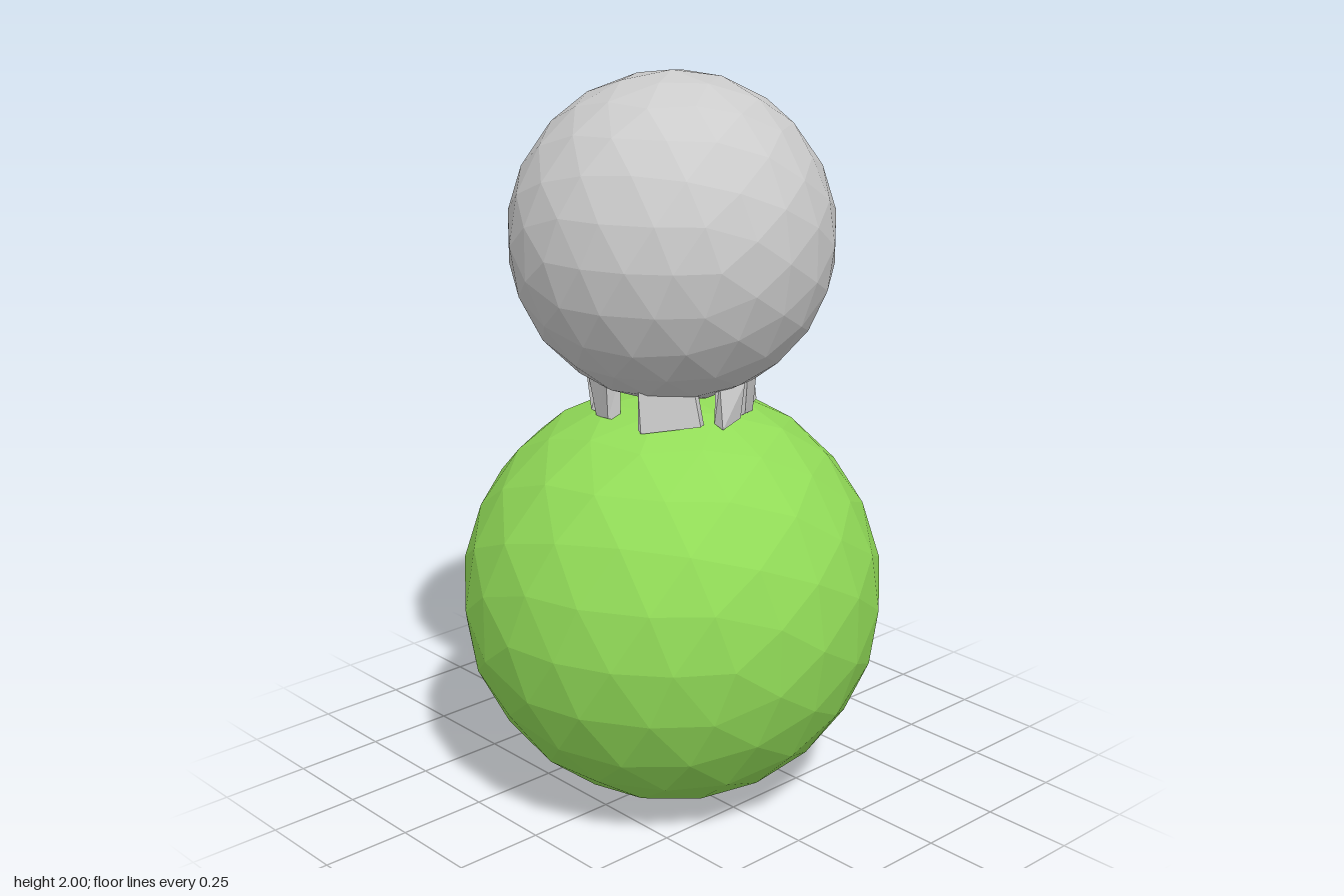
import * as THREE from 'three';

const grey = new THREE.MeshStandardMaterial({ color: 0xcccccc, flatShading: true });
const green = new THREE.MeshStandardMaterial({ color: 0x92dc58, flatShading: true });

let seed = 7;
function rnd() {
  seed = (seed * 16807) % 2147483647;
  return seed / 2147483647 - 0.5;
}

// Unit icosphere, halved twice, with its poles on the z axis
function icosphere() {
  const base = new THREE.IcosahedronGeometry(1, 0);
  base.rotateX(Math.atan(2 / (1 + Math.sqrt(5)))).rotateZ(Math.PI / 2);
  const p = base.attributes.position;
  let points = [];
  for (let i = 0; i < p.count; i++) points.push(new THREE.Vector3().fromBufferAttribute(p, i));
  for (let step = 0; step < 2; step++) {
    const next = [];
    for (let i = 0; i < points.length; i += 3) {
      const [a, b, c] = points.slice(i, i + 3);
      const mid = (u, v) => u.clone().add(v).normalize();
      const ab = mid(a, b), bc = mid(b, c), ca = mid(c, a);
      next.push(a, ab, ca, ab, b, bc, ca, bc, c, ab, bc, ca);
    }
    points = next;
  }
  const geometry = new THREE.BufferGeometry().setFromPoints(points);
  geometry.computeVertexNormals();
  return geometry;
}

function ball(name, radius, y, material) {
  const mesh = new THREE.Mesh(icosphere().scale(radius, radius, radius), material);
  mesh.name = name;
  mesh.position.y = y;
  return mesh;
}

// Thin plate whose corners are moved a little, standing in the neck gap
function shard(angle, width, radius) {
  const geometry = new THREE.BoxGeometry(width, 0.1, 0.022);
  const p = geometry.attributes.position;
  const shifts = {};
  for (let i = 0; i < p.count; i++) {
    const key = [p.getX(i) > 0, p.getY(i) > 0, p.getZ(i) > 0].join();
    shifts[key] ??= [rnd() * width * 0.3, rnd() * 0.025, rnd() * 0.03];
    const [dx, dy, dz] = shifts[key];
    p.setXYZ(i, p.getX(i) + dx, p.getY(i) + dy, p.getZ(i) + dz);
  }
  geometry.computeVertexNormals();
  const mesh = new THREE.Mesh(geometry, grey);
  mesh.name = 'neckShard';
  const a = THREE.MathUtils.degToRad(angle);
  mesh.position.set(Math.sin(a) * radius, 1.16, Math.cos(a) * radius);
  mesh.rotation.y = a + rnd() * 0.35;
  return mesh;
}

export function createModel() {
  const model = new THREE.Group();
  model.name = 'stackedBalls';
  model.add(ball('lowerBall', 0.577, 0.577, green));
  model.add(ball('upperBall', 0.432, 1.568, grey));

  // Broken collar: angle from the front, width, distance from the axis
  const collar = new THREE.Group();
  collar.name = 'brokenCollar';
  const layout = [
    [45, 0.18, 0.21], [90, 0.07, 0.22], [116, 0.09, 0.21], [150, 0.08, 0.2], [205, 0.03, 0.21],
    [236, 0.1, 0.2], [280, 0.08, 0.21], [322, 0.1, 0.21], [346, 0.06, 0.2],
  ];
  for (const [angle, width, radius] of layout) collar.add(shard(angle, width, radius));
  model.add(collar);
  return model;
}
